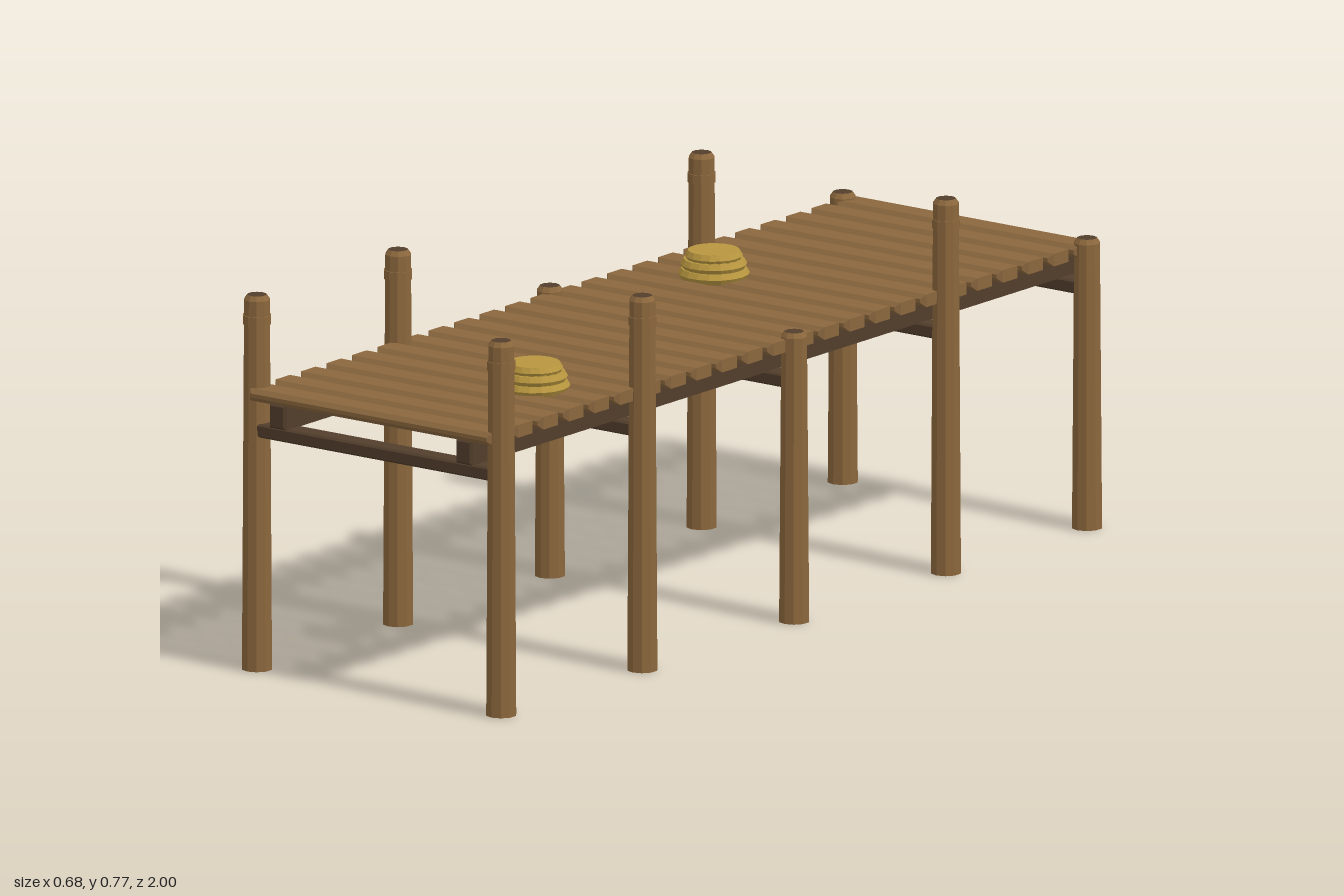
import * as THREE from 'three';

const material = (name, color) => {
  const m = new THREE.MeshStandardMaterial({ color, flatShading: true });
  m.name = name;
  return m;
};

// Box with chamfered edges, centred on the origin
function chamferBox(w, h, d, b) {
  const x = w / 2 - b, y = h / 2 - b;
  const shape = new THREE.Shape([
    new THREE.Vector2(-x, -y), new THREE.Vector2(x, -y),
    new THREE.Vector2(x, y), new THREE.Vector2(-x, y),
  ]);
  const geo = new THREE.ExtrudeGeometry(shape, {
    depth: d - 2 * b, bevelEnabled: true, bevelSize: b, bevelThickness: b, bevelSegments: 1,
  });
  return geo.translate(0, 0, b - d / 2);
}

export function createModel() {
  const plankWood = material('plank wood', 0x8a673e);
  const postWood = material('post wood', 0x8b673c);
  const beamWood = material('dark beam wood', 0x523e2b);
  const rope = material('rope', 0xb8963f);

  const model = new THREE.Group();
  model.name = 'dock';
  const add = (parent, name, geo, mat, x = 0, y = 0, z = 0) => {
    const mesh = new THREE.Mesh(geo, mat);
    mesh.name = name;
    mesh.position.set(x, y, z);
    parent.add(mesh);
    return mesh;
  };

  // Deck planks
  const deck = new THREE.Group();
  deck.name = 'deck';
  model.add(deck);
  const plankGeo = chamferBox(0.614, 0.026, 0.066, 0.009);
  const count = 24;
  for (let i = 0; i < count; i++) {
    add(deck, 'plank', plankGeo, plankWood, 0, 0.574, -0.967 + (i * 1.934) / (count - 1));
  }

  // Long beams under the deck
  const stringerGeo = chamferBox(0.042, 0.052, 1.99, 0.005);
  for (const side of [-1, 1]) add(model, 'longBeam', stringerGeo, beamWood, side * 0.236, 0.538, 0);

  // Posts, tall or short, with a cross beam joining each pair
  const rows = [[0.965, 0.775], [0.5, 0.775], [0, 0.6], [-0.5, 0.775], [-0.965, 0.6]];
  const crossGeo = chamferBox(0.6, 0.028, 0.044, 0.004);
  for (const [z, height] of rows) {
    add(model, 'crossBeam', crossGeo, beamWood, 0, 0.499, z);
    const tall = height > 0.7;
    const profile = [
      [0, 0], [0.0315, 0], [0.027, height - 0.01], [0.02, height],
    ].map(([r, y]) => new THREE.Vector2(r, y));
    const postGeo = new THREE.LatheGeometry(profile, 10);
    for (const side of [-1, 1]) {
      const post = new THREE.Group();
      post.name = 'post';
      post.position.set(side * 0.309, 0, z);
      model.add(post);
      add(post, 'postShaft', postGeo, postWood);
      add(post, 'postEnd', new THREE.CylinderGeometry(0.02, 0.02, 0.002, 10), beamWood, 0, height - 0.001, 0);
      if (tall) add(post, 'postBand', new THREE.CylinderGeometry(0.0295, 0.0295, 0.018, 10), postWood, 0, 0.724, 0);
    }
  }

  // Coiled rope stacks
  const layers = [[0.06, 0.594], [0.055, 0.613], [0.046, 0.63]];
  for (const [x, z] of [[-0.127, -0.303], [0.147, 0.645]]) {
    const coil = new THREE.Group();
    coil.name = 'ropeCoil';
    coil.position.set(x, 0, z);
    model.add(coil);
    for (const [radius, y] of layers) {
      const ring = new THREE.TorusGeometry(radius, 0.0125, 6, 18).rotateX(Math.PI / 2);
      add(coil, 'ropeRing', ring, rope, 0, y, 0);
    }
    // Dark hollows between the turns
    add(coil, 'coilShadow', new THREE.CylinderGeometry(0.053, 0.066, 0.034, 18), beamWood, 0, 0.604, 0);
    add(coil, 'coilTop', new THREE.CylinderGeometry(0.052, 0.056, 0.02, 18), rope, 0, 0.631, 0);
  }

  return model;
}
